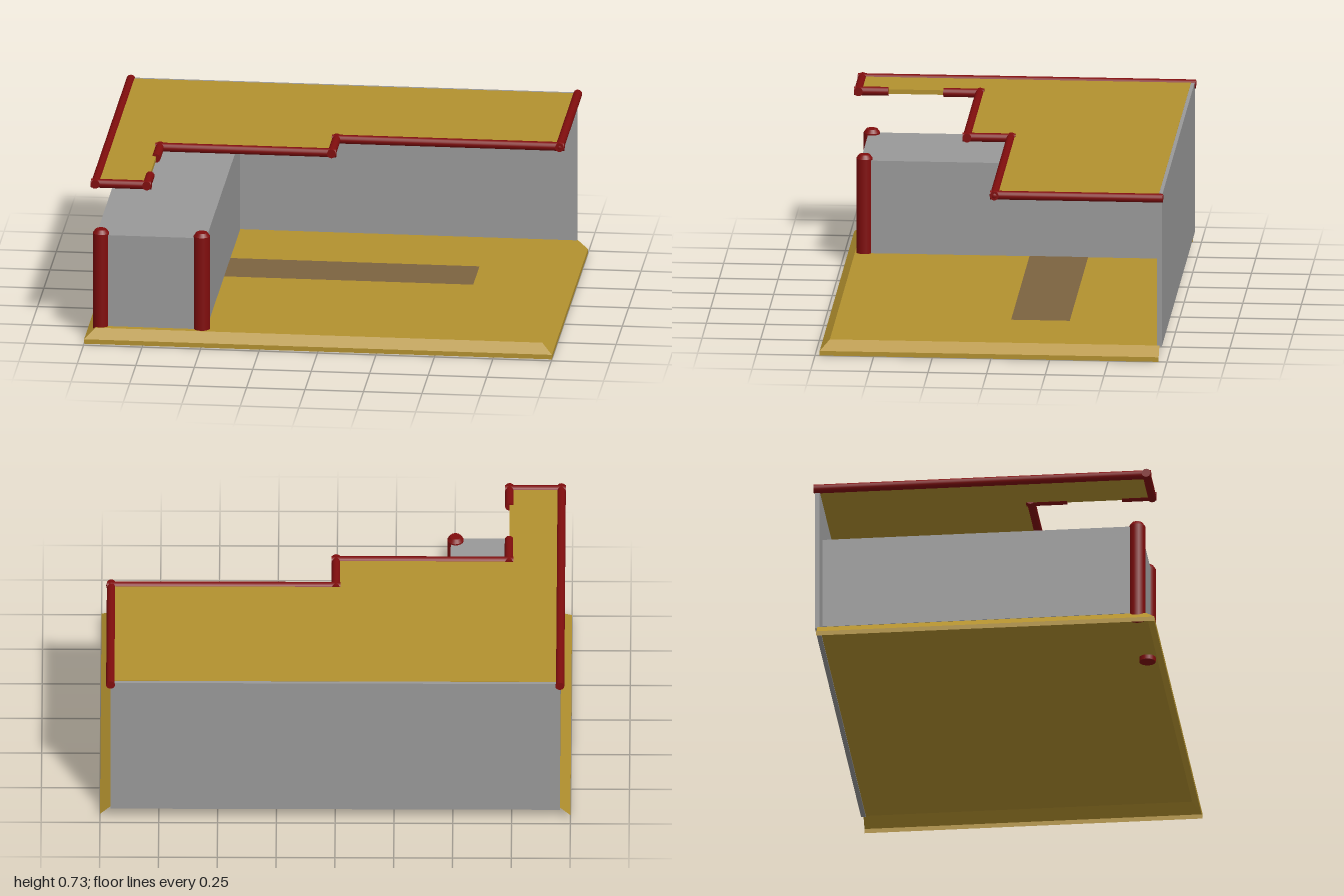
import * as THREE from 'three';

const mat = (color, side = THREE.FrontSide) => new THREE.MeshStandardMaterial({ color, side });

export function createModel() {
  const root = new THREE.Group();
  const grey = mat(0x999999), gold = mat(0xb3912f, THREE.DoubleSide);
  const red = mat(0x800d0d), brown = mat(0x7c6340);
  const add = (name, geo, material, x = 0, y = 0, z = 0) => {
    const m = new THREE.Mesh(geo, material);
    m.name = name;
    m.position.set(x, y, z);
    root.add(m);
    return m;
  };
  // Box given by its extents
  const block = (name, material, x0, x1, y0, y1, z0, z1) =>
    add(name, new THREE.BoxGeometry(x1 - x0, y1 - y0, z1 - z0), material,
      (x0 + x1) / 2, (y0 + y1) / 2, (z0 + z1) / 2);
  // Flat horizontal sheet
  const sheet = (name, material, x0, x1, y, z0, z1) =>
    add(name, new THREE.PlaneGeometry(x1 - x0, z1 - z0).rotateX(-Math.PI / 2), material,
      (x0 + x1) / 2, y, (z0 + z1) / 2);

  // Floor, open underneath
  const back = -0.715;
  sheet('floor', gold, -0.955, 0.955, 0.06, back, 0.69);

  // Skirt on the front and both sides: straight lip, then a bevel; open at the back
  const rings = [[1, 0, 0.73], [1, 0.02, 0.73], [0.955, 0.06, 0.69]].map(([x, y, z]) =>
    [[-x, y, back], [-x, y, z], [x, y, z], [x, y, back]]);
  const skirtPoints = [];
  for (let i = 0; i < 2; i++)
    for (let j = 0; j < 3; j++) {
      const [a, b] = [rings[i][j], rings[i][j + 1]];
      const [d, c] = [rings[i + 1][j], rings[i + 1][j + 1]];
      skirtPoints.push(...a, ...b, ...c, ...a, ...c, ...d);
    }
  const skirt = new THREE.BufferGeometry();
  skirt.setAttribute('position', new THREE.Float32BufferAttribute(skirtPoints, 3));
  skirt.computeVertexNormals();
  add('floorSkirt', skirt, gold);

  // Inlaid floor strip, back wall and side block
  sheet('floorStrip', brown, -0.485, 0.58, 0.062, -0.305, -0.055);
  block('backWall', grey, -0.955, 0.955, 0.055, 0.716, -0.725, -0.705);
  block('sideBlock', grey, -0.955, -0.485, 0.061, 0.468, -0.692, 0.665);

  // Corner posts with bevelled caps, reaching just below the floor
  const postProfile = [[0, 0.04], [0.035, 0.04], [0.035, 0.474], [0.024, 0.49], [0, 0.49]]
    .flatMap(([r, y], i) => {
      const v = new THREE.Vector2(r, y);
      return i > 0 && i < 4 ? [v, v.clone()] : [v];
    });
  for (const x of [-0.936, -0.505])
    add('cornerPost', new THREE.LatheGeometry(postProfile, 20), red, x, 0, 0.65);

  // Stepped roof slab, butting against the wall
  const outline = [[-0.955, -0.71], [-0.955, 0.692], [-0.735, 0.692], [-0.735, 0.175],
    [0, 0.175], [0, -0.012], [0.955, -0.012], [0.955, -0.71]];
  const shape = new THREE.Shape(outline.map(([x, z]) => new THREE.Vector2(x, -z)));
  const slab = new THREE.ExtrudeGeometry(shape, { depth: 0.02, bevelEnabled: false });
  slab.rotateX(-Math.PI / 2);
  add('roofSlab', slab, gold, 0, 0.697, 0);

  // Rail along the roof edge; e0 and e1 lengthen the ends so corners meet
  const r = 0.019, railY = 0.708;
  const rail = ([x0, z0], [x1, z1], e0 = r, e1 = r) => {
    const a = new THREE.Vector3(x0, railY, z0), b = new THREE.Vector3(x1, railY, z1);
    const d = b.clone().sub(a).normalize();
    a.addScaledVector(d, -e0);
    b.addScaledVector(d, e1);
    const m = add('roofRail', new THREE.CylinderGeometry(r, r, a.distanceTo(b), 16), red);
    m.position.copy(a).add(b).multiplyScalar(0.5);
    m.quaternion.setFromUnitVectors(new THREE.Vector3(0, 1, 0), d);
  };
  for (let i = 0; i < outline.length - 1; i++) {
    const a = outline[i], b = outline[i + 1];
    if (i === 2) { // gap in the rail over the side block
      rail(a, [a[0], 0.565], r, 0);
      rail([a[0], 0.33], b, 0, r);
    } else rail(a, b, i === 0 ? 0.02 : r, i === 6 ? 0.02 : r);
  }
  add('railKnob', new THREE.SphereGeometry(0.021, 16, 12), red, 0.956, railY, -0.012);
  return root;
}
